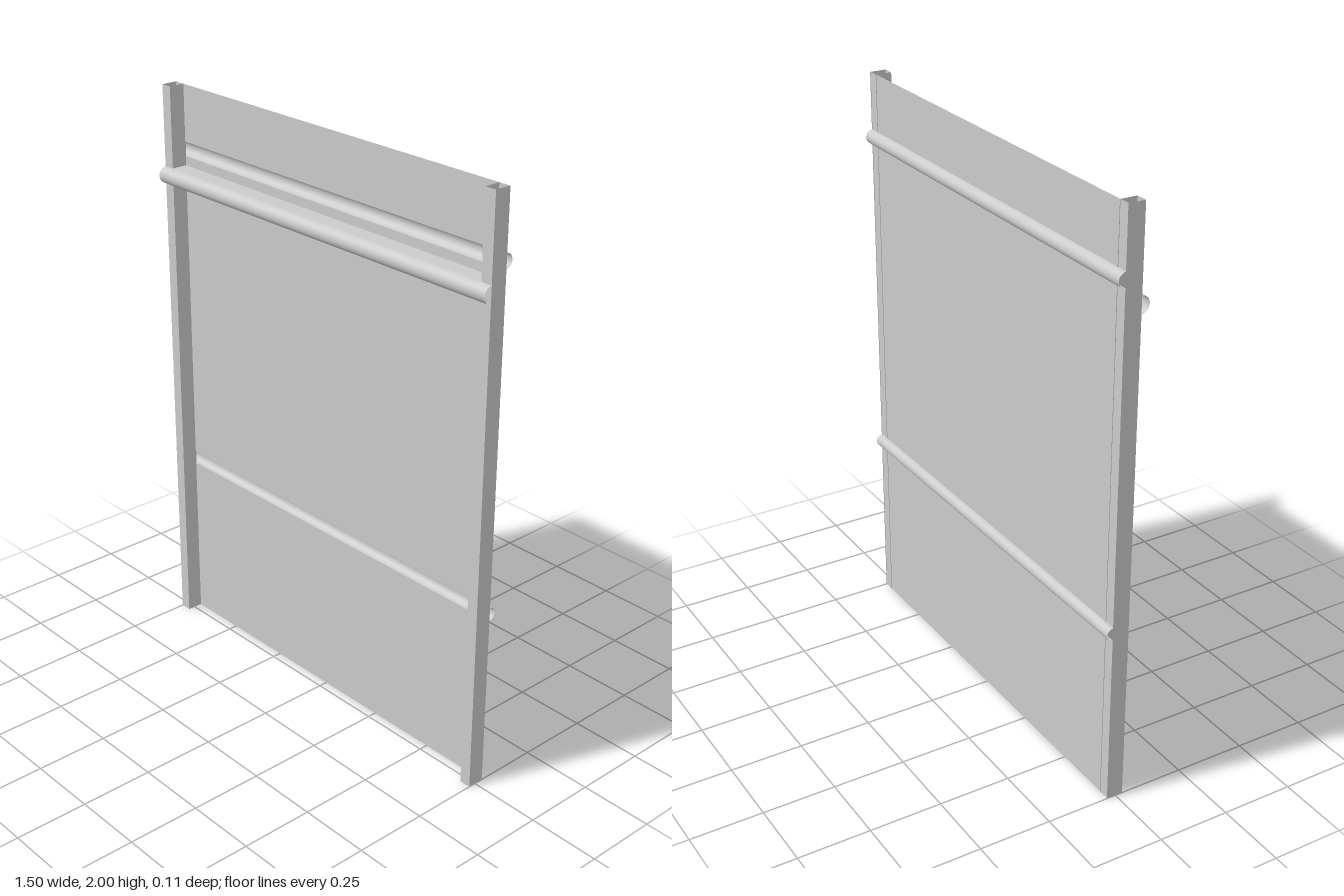
import * as THREE from 'three';

const W = 1.5, H = 2, POST_W = 0.04;
const BACK = -0.03, FRONT = 0.024;

export function createModel() {
  const group = new THREE.Group();
  const material = new THREE.MeshStandardMaterial({ color: 0xcccccc, side: THREE.DoubleSide });

  const add = (name, geometry, x, y, z) => {
    const mesh = new THREE.Mesh(geometry, material);
    mesh.name = name;
    mesh.position.set(x, y, z);
    group.add(mesh);
    return mesh;
  };

  // Upright sheet facing the back
  const sheet = (name, y0, y1) =>
    add(name, new THREE.PlaneGeometry(W, y1 - y0).rotateY(Math.PI), 0, (y0 + y1) / 2, BACK);

  // Open half pipe along x; direction is +1 for a forward bulge, -1 for a backward one
  const halfPipe = (name, y, z, radius, direction) => {
    const start = direction > 0 ? -Math.PI / 2 : Math.PI / 2;
    const geometry = new THREE.CylinderGeometry(radius, radius, W, 32, 1, true, start, Math.PI);
    return add(name, geometry.rotateZ(-Math.PI / 2), 0, y, z);
  };

  // Back panel, split by the two grooves that bulge backward
  const grooves = [{ y: 0.623, r: 0.023 }, { y: 1.778, r: 0.025 }];
  let bottom = 0;
  for (const { y, r } of grooves) {
    sheet('backPanel', bottom, y - r);
    halfPipe('groove', y, BACK, r, -1);
    bottom = y + r;
  }
  sheet('backPanel', bottom, H);

  // Rounded rail across the front, with flat webs reaching the panel
  const railY = 1.692, railR = 0.029;
  halfPipe('frontRail', railY, FRONT, railR, 1);
  for (const side of [-1, 1]) {
    const web = new THREE.PlaneGeometry(W, FRONT - BACK).rotateX(-side * Math.PI / 2);
    add('railWeb', web, 0, railY + side * railR, (FRONT + BACK) / 2);
  }

  // Hollow side posts, open at both ends and closed at the back by the panel
  for (const side of [-1, 1]) {
    const outer = side * W / 2, inner = side * (W / 2 - POST_W);
    add('postFront', new THREE.PlaneGeometry(POST_W, H), (outer + inner) / 2, H / 2, FRONT + 0.002);
    const wall = (name, x, facing) => add(name,
      new THREE.PlaneGeometry(FRONT + 0.004 - BACK, H).rotateY(facing * Math.PI / 2),
      x, H / 2, (FRONT + BACK) / 2);
    wall('postOuterWall', outer, side);
    wall('postInnerWall', inner, -side);
  }

  return group;
}
